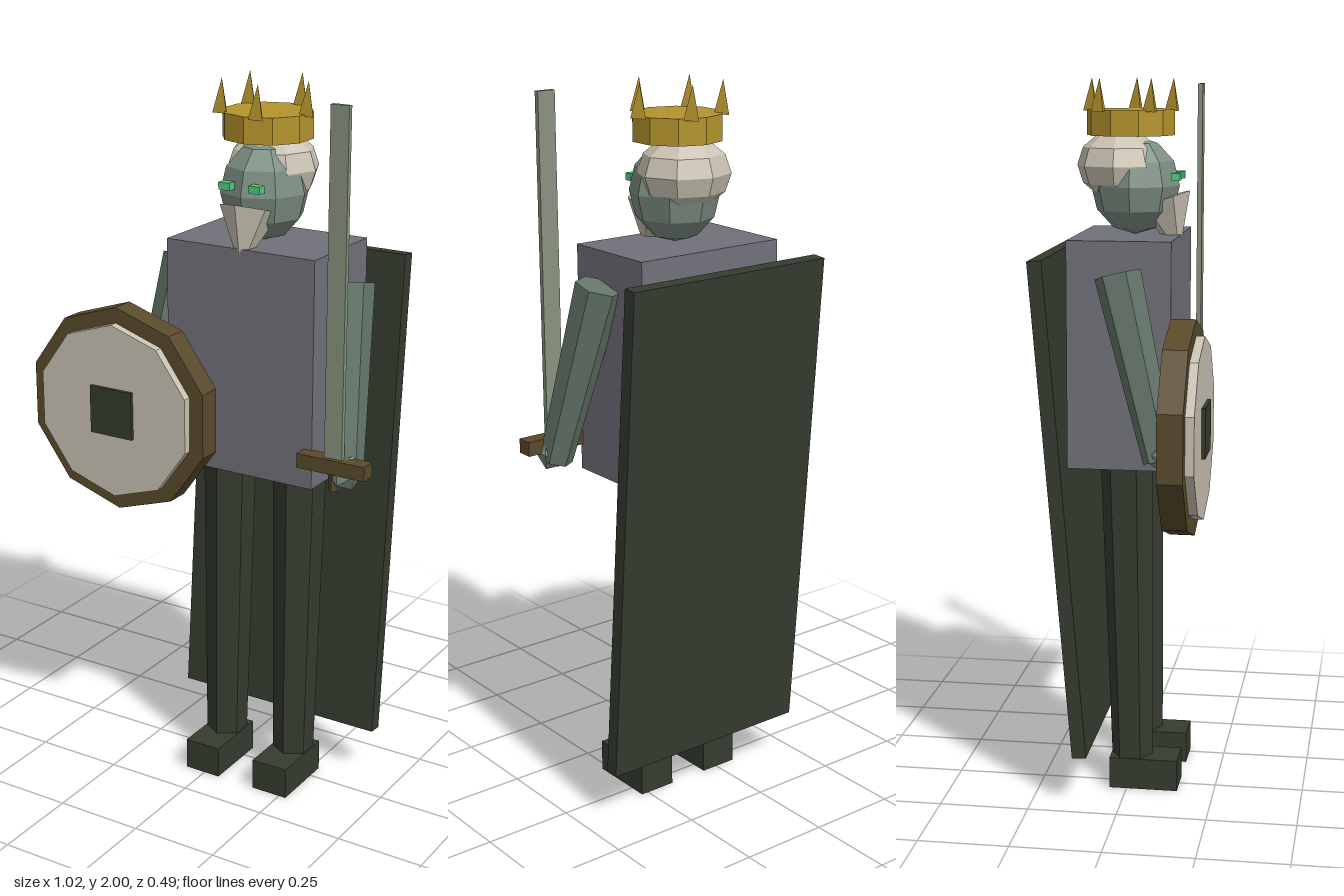
import * as THREE from 'three';

const mat = (name, color) => {
  const m = new THREE.MeshStandardMaterial({ color, flatShading: true });
  m.name = name;
  return m;
};

export function createModel() {
  const M = {
    dark: mat('dark cloth', 0x353c2f),
    tunic: mat('grey tunic', 0x71717a),
    sleeve: mat('green grey skin', 0x64766a),
    skin: mat('pale green skin', 0x7c8e82),
    bone: mat('bone', 0xcac3b3),
    gold: mat('gold', 0xb5942d),
    wood: mat('brown wood', 0x5a4a2b),
    steel: mat('blade steel', 0x88937f),
    eye: mat('glowing green', 0x55cc80),
  };
  const root = new THREE.Group();
  root.name = 'crownedWarrior';
  const CX = 0.105; // the body's own centre line

  const add = (name, geo, material, x, y, z, rx = 0, ry = 0) => {
    const mesh = new THREE.Mesh(geo, material);
    mesh.name = name;
    mesh.position.set(x, y, z);
    mesh.rotation.set(rx, ry, 0);
    root.add(mesh);
    return mesh;
  };
  const box = (w, h, d) => new THREE.BoxGeometry(w, h, d);
  // tapered limb running between two points
  const limb = (name, top, bottom, rTop, rBottom, material) => {
    const a = new THREE.Vector3(...top), b = new THREE.Vector3(...bottom);
    const dir = a.clone().sub(b);
    const mid = a.clone().add(b).multiplyScalar(0.5);
    const mesh = add(name, new THREE.CylinderGeometry(rTop, rBottom, dir.length(), 6), material, mid.x, mid.y, mid.z);
    mesh.quaternion.setFromUnitVectors(new THREE.Vector3(0, 1, 0), dir.normalize());
  };

  // torso and cape
  add('torso', box(0.45, 0.625, 0.285), M.tunic, CX, 1.262, -0.0125);
  add('cape', box(0.63, 1.39, 0.04), M.dark, CX, 0.835, -0.168, -0.082);

  // legs, boots, arms and hands
  for (const [side, s] of [['left', 1], ['right', -1]]) {
    const lx = CX + s * 0.112;
    limb(side + 'Leg', [lx, 0.97, -0.008], [lx, 0.07, 0.01], 0.073, 0.058, M.dark);
    add(side + 'Boot', box(0.108, 0.09, 0.195), M.dark, lx, 0.045, 0.048);
    limb(side + 'Arm', [CX + s * 0.255, 1.49, -0.01], [CX + s * 0.32, 1.0, 0.113], 0.064, 0.045, M.sleeve);
    const hand = add(side + 'Hand', new THREE.IcosahedronGeometry(0.05, 0), M.skin, CX + s * 0.32, 1.02, 0.125);
    hand.scale.set(1, 1.1, 0.95);
  }

  // head, hair, beard and eyes
  add('head', new THREE.SphereGeometry(0.122, 8, 6), M.skin, CX, 1.708, 0).scale.set(0.98, 1.1, 1.02);
  add('hair', new THREE.SphereGeometry(0.128, 8, 6), M.bone, CX, 1.763, -0.042).scale.set(1, 0.77, 0.94);
  const beard = new THREE.ConeGeometry(0.08, 0.16, 6).rotateZ(Math.PI);
  add('beard', beard, M.bone, CX, 1.595, 0.1, -0.3);
  for (const s of [-1, 1]) {
    add('eye', box(0.034, 0.02, 0.025), M.eye, CX + s * 0.045, 1.735, 0.12);
  }

  // crown with five points
  add('crownBand', new THREE.CylinderGeometry(0.122, 0.122, 0.07, 10), M.gold, CX, 1.88, -0.0125);
  for (let i = 0; i < 5; i++) {
    const a = (i / 5) * Math.PI * 2;
    add('crownPoint', new THREE.ConeGeometry(0.025, 0.09, 3), M.gold,
      CX + Math.cos(a) * 0.12, 1.955, -0.0125 + Math.sin(a) * 0.12, 0, Math.PI);
  }

  // round shield in the right hand
  const disc = (r, d) => new THREE.CylinderGeometry(r, r, d, 10);
  add('shieldRim', disc(0.291, 0.067), M.wood, -0.235, 1.095, 0.178, Math.PI / 2);
  add('shieldFace', disc(0.247, 0.026), M.bone, -0.235, 1.095, 0.222, Math.PI / 2);
  add('shieldBoss', box(0.135, 0.135, 0.02), M.dark, -0.235, 1.095, 0.235);

  // sword in the left hand
  add('swordBlade', box(0.052, 0.93, 0.014), M.steel, 0.407, 1.515, 0.148);
  add('swordGuard', box(0.2, 0.04, 0.045), M.wood, 0.405, 1.04, 0.145);
  add('swordGrip', new THREE.CylinderGeometry(0.016, 0.016, 0.08, 6), M.wood, 0.407, 1.01, 0.145);

  return root;
}
